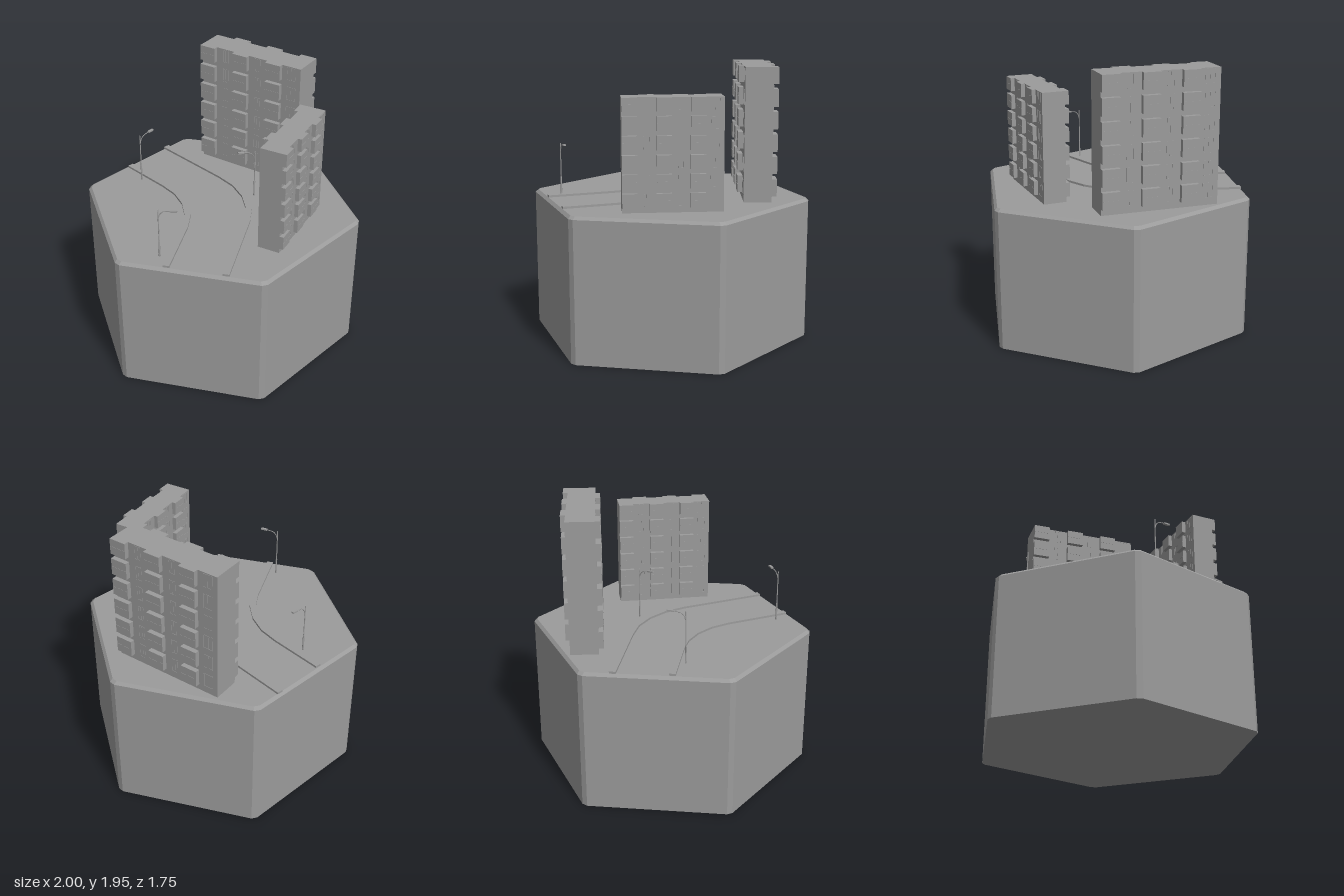
import * as THREE from 'three';
import { ConvexGeometry } from 'three/addons/geometries/ConvexGeometry.js';
import { mergeGeometries } from 'three/addons/utils/BufferGeometryUtils.js';

const GROUND = 1.015;
const grey = new THREE.MeshStandardMaterial({ color: 0x9b9b9b, flatShading: true });
const smooth = new THREE.MeshStandardMaterial({ color: 0x9b9b9b });

function part(name, geometry, material = grey) {
  const mesh = new THREE.Mesh(geometry, material);
  mesh.name = name;
  return mesh;
}

function box(w, h, d, x, y, z) {
  return new THREE.BoxGeometry(w, h, d).translate(x, y, z);
}

// Hexagonal plinth with cut corners and a bevelled top rim
function plinth() {
  const points = [];
  const rim = [[0, 1], [0.995, 1], [GROUND, 0.978]];
  for (const [y, s] of rim) {
    for (let i = 0; i < 6; i++) {
      const a = (i * Math.PI) / 3;
      for (const side of [-0.021, 0.021]) {
        const x = Math.cos(a) - side * Math.sin(a);
        const z = Math.sin(a) + side * Math.cos(a);
        points.push(new THREE.Vector3(x * s, y, z * s));
      }
    }
  }
  return part('plinth', new ConvexGeometry(points));
}

// Kerb running back from the front edge, round a 60 degree bend, then straight to its end point
function kerb(name, cx, cz, radius, end, width = 0.045, height = 0.015) {
  const pts = [new THREE.Vector2(cx + radius, -0.855)];
  for (let i = 0; i <= 4; i++) {
    const a = (i * Math.PI) / 12;
    pts.push(new THREE.Vector2(cx + radius * Math.cos(a), -cz + radius * Math.sin(a)));
  }
  pts.push(new THREE.Vector2(end[0], -end[1]));
  const left = [], right = [];
  pts.forEach((p, i) => {
    const t = new THREE.Vector2();
    if (i > 0) t.add(p.clone().sub(pts[i - 1]).normalize());
    if (i < pts.length - 1) t.add(pts[i + 1].clone().sub(p).normalize());
    t.normalize();
    const n = new THREE.Vector2(-t.y, t.x).multiplyScalar(width / 2);
    left.push(p.clone().add(n));
    right.unshift(p.clone().sub(n));
  });
  const geo = new THREE.ExtrudeGeometry(new THREE.Shape([...left, ...right]), { depth: height, bevelEnabled: false });
  return part(name, geo.rotateX(-Math.PI / 2).translate(0, GROUND, 0));
}

// Thin window frame with upright bars, lying on the plane z
function windowFrame(w, h, x, y, z, panes) {
  const t = 0.003, d = 0.004;
  const bars = [-1, 1].map((s) => box(w, t, d, x, y + (s * h) / 2, z));
  for (let i = 0; i <= panes; i++) bars.push(box(t, h, d, x + w * (i / panes - 0.5), y, z));
  return bars;
}

// Apartment block: slab core, three columns of enclosed balconies on each long side
function apartmentBlock(name, x, z, angle, scale) {
  const length = 0.822, height = 0.93, core = 0.097, depth = 0.034;
  const block = new THREE.Group();
  block.name = name;
  block.add(part('core', box(length, height, core * 2, 0, height / 2, 0)));

  const balconies = [], windows = [];
  const width = 0.124, pitch = 0.275;
  for (let floor = 0; floor < 6; floor++) {
    const y0 = 0.043 + 0.155 * floor;
    const h = Math.min(0.119, height - y0);
    for (let col = 0; col < 3; col++) {
      const cx = -length / 2 + width / 2 + col * pitch;
      balconies.push(box(width, h, depth, cx, y0 + h / 2, core + depth / 2));
      // Handrail across the balcony front
      windows.push(box(width - 0.01, 0.003, 0.003, cx, y0 + h * 0.5, core + depth));
      // Tall window in the bay beside each balcony
      windows.push(...windowFrame(col === 2 ? 0.07 : 0.044, h * 0.84, cx + pitch / 2, y0 + h / 2, core, 2));
    }
  }
  const balconyGeo = mergeGeometries(balconies);
  const windowGeo = mergeGeometries(windows);
  for (const side of ['front', 'back']) {
    const facade = new THREE.Group();
    facade.name = side + 'Facade';
    facade.add(part('balconies', balconyGeo), part('windows', windowGeo));
    if (side === 'back') facade.rotation.y = Math.PI;
    block.add(facade);
  }
  block.position.set(x, GROUND, z);
  block.rotation.y = THREE.MathUtils.degToRad(angle);
  block.scale.setScalar(scale);
  return block;
}

// Street lamp, arm reaching along its local +x
function streetLamp(name, x, z, dx, dz) {
  const lamp = new THREE.Group();
  lamp.name = name;
  const profile = [[0, 0], [0.007, 0], [0.007, 0.012], [0.0062, 0.016], [0.0058, 0.12], [0.004, 0.13], [0.0035, 0.37], [0, 0.372]];
  lamp.add(part('post', new THREE.LatheGeometry(profile.map((p) => new THREE.Vector2(...p)), 10)));
  const arm = new THREE.CatmullRomCurve3(
    [[0, 0.3], [0.012, 0.335], [0.035, 0.358], [0.085, 0.369]].map(([px, py]) => new THREE.Vector3(px, py, 0)));
  lamp.add(part('arm', new THREE.TubeGeometry(arm, 14, 0.003, 6), smooth));
  const head = part('lampHead', new THREE.BoxGeometry(0.046, 0.011, 0.017));
  head.position.set(0.105, 0.371, 0);
  head.rotation.z = 0.08;
  lamp.add(head);
  lamp.position.set(x, GROUND, z);
  lamp.rotation.y = Math.atan2(-dz, dx);
  return lamp;
}

export function createModel() {
  const model = new THREE.Group();
  model.name = 'cityTile';
  model.add(plinth());

  // Kerbs on both sides of the curved road
  model.add(kerb('outerKerb', -0.4, 0.21, 0.64, [-0.605, -0.678]));
  model.add(kerb('innerKerb', -0.745, 0.38, 0.58, [-0.79, -0.335]));

  model.add(apartmentBlock('tallBlock', 0.13, -0.604, -20, 1));
  model.add(apartmentBlock('shortBlock', 0.537, 0.176, -105, 0.82));

  model.add(streetLamp('rearLamp', -0.649, -0.175, 0.06, -0.1));
  model.add(streetLamp('frontLamp', -0.24, 0.74, 1, 0));
  model.add(streetLamp('middleLamp', 0.217, -0.15, -0.107, 0.06));
  return model;
}
